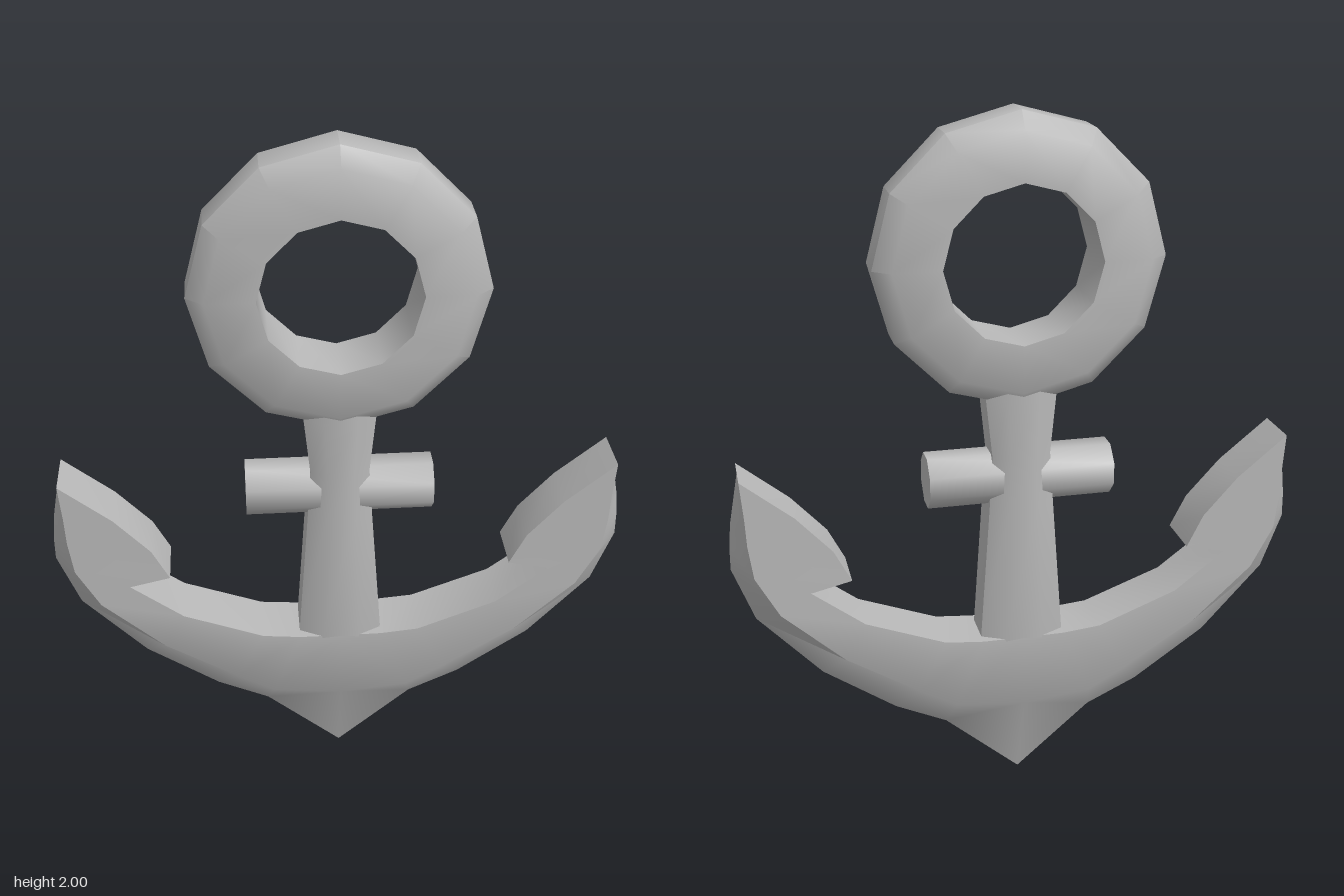
import * as THREE from 'three';
import { toCreasedNormals } from 'three/addons/utils/BufferGeometryUtils.js';

// Skin closed cross-sections; useAC picks the diagonal of each quad
function loft(sections, useAC = () => true) {
  const n = sections[0].length, index = [];
  for (let s = 0; s < sections.length - 1; s++) {
    for (let k = 0; k < n; k++) {
      const a = s * n + k, b = s * n + (k + 1) % n, c = b + n, d = a + n;
      if (useAC(s, k)) index.push(a, b, c, a, c, d);
      else index.push(a, b, d, b, c, d);
    }
  }
  const g = new THREE.BufferGeometry();
  g.setAttribute('position', new THREE.Float32BufferAttribute(sections.flat(2), 3));
  g.setIndex(index);
  return g;
}

export function createModel() {
  const group = new THREE.Group();
  const metal = new THREE.MeshStandardMaterial({ color: 0xb8b8b8 });
  metal.name = 'greyMetal';
  const add = (name, geometry, crease) => {
    const mesh = new THREE.Mesh(toCreasedNormals(geometry, crease), metal);
    mesh.name = name;
    group.add(mesh);
    return mesh;
  };

  // Ring: twelve sides with a bevelled outer rim
  const profile = [[0.22, -0.09], [0.355, -0.09], [0.403, -0.05], [0.403, 0.05],
    [0.355, 0.09], [0.22, 0.09], [0.22, -0.09]].map(p => new THREE.Vector2(...p));
  const ring = new THREE.LatheGeometry(profile, 12);
  ring.rotateX(Math.PI / 2);
  add('ring', ring, 0.95).position.y = 1.598;

  // Shank: chamfered bar, waisted at the stock [y, half width, half depth]
  const shank = [[0.3, 0.12, 0.07], [0.5, 0.12, 0.086], [0.9, 0.092, 0.086],
    [1.05, 0.083, 0.083], [1.22, 0.1, 0.08], [1.3, 0.1, 0.078]].map(([y, w, d]) => {
    const cx = w * 0.45, cz = d * 0.6;
    return [[-cx, y, d], [cx, y, d], [w, y, cz], [w, y, -cz],
      [cx, y, -d], [-cx, y, -d], [-w, y, -cz], [-w, y, cz]];
  });
  add('shank', loft(shank), 0.9);

  // Stock: octagonal crossbar
  const stock = new THREE.CylinderGeometry(0.08, 0.08, 0.53, 8);
  stock.rotateY(Math.PI / 8);
  stock.rotateZ(Math.PI / 2);
  add('stock', stock, 0.95).position.y = 0.977;

  // Arms and flukes: inner edge, bevel line, outer ridge, half depth
  const right = [
    [0, 0.49, 0, 0.27, 0, 0, 0.085],
    [0.12, 0.49, 0.2, 0.29, 0.22, 0.19, 0.084],
    [0.23, 0.5, 0.31, 0.35, 0.37, 0.26, 0.083],
    [0.46, 0.587, 0.52, 0.48, 0.58, 0.405, 0.081],
    [0.608, 0.7, 0.695, 0.64, 0.76, 0.6, 0.079],
    [0.492, 0.726, 0.76, 0.76, 0.82, 0.76, 0.078],
    [0.54, 0.82, 0.773, 0.86, 0.819, 0.83, 0.077],
    [0.64, 0.93, 0.776, 0.94, 0.812, 0.9, 0.076],
    [0.784, 1.048, 0.784, 1.048, 0.784, 1.048, 0.075],
  ];
  const section = ([ix, iy, mx, my, ox, oy, d], side) => [
    [side * ix, iy, d], [side * mx, my, d], [side * ox, oy, 0],
    [side * mx, my, -d], [side * ix, iy, -d]];
  const arms = [
    ...right.slice(1).reverse().map(r => section(r, -1)),
    ...right.map(r => section(r, 1))];
  add('armsAndFlukes', loft(arms, (s, k) => (k < 2) === (s >= 8)), 0.8);

  // Slight twist about the upright axis
  group.rotation.y = -0.022;
  group.position.z = -0.003;
  return group;
}
